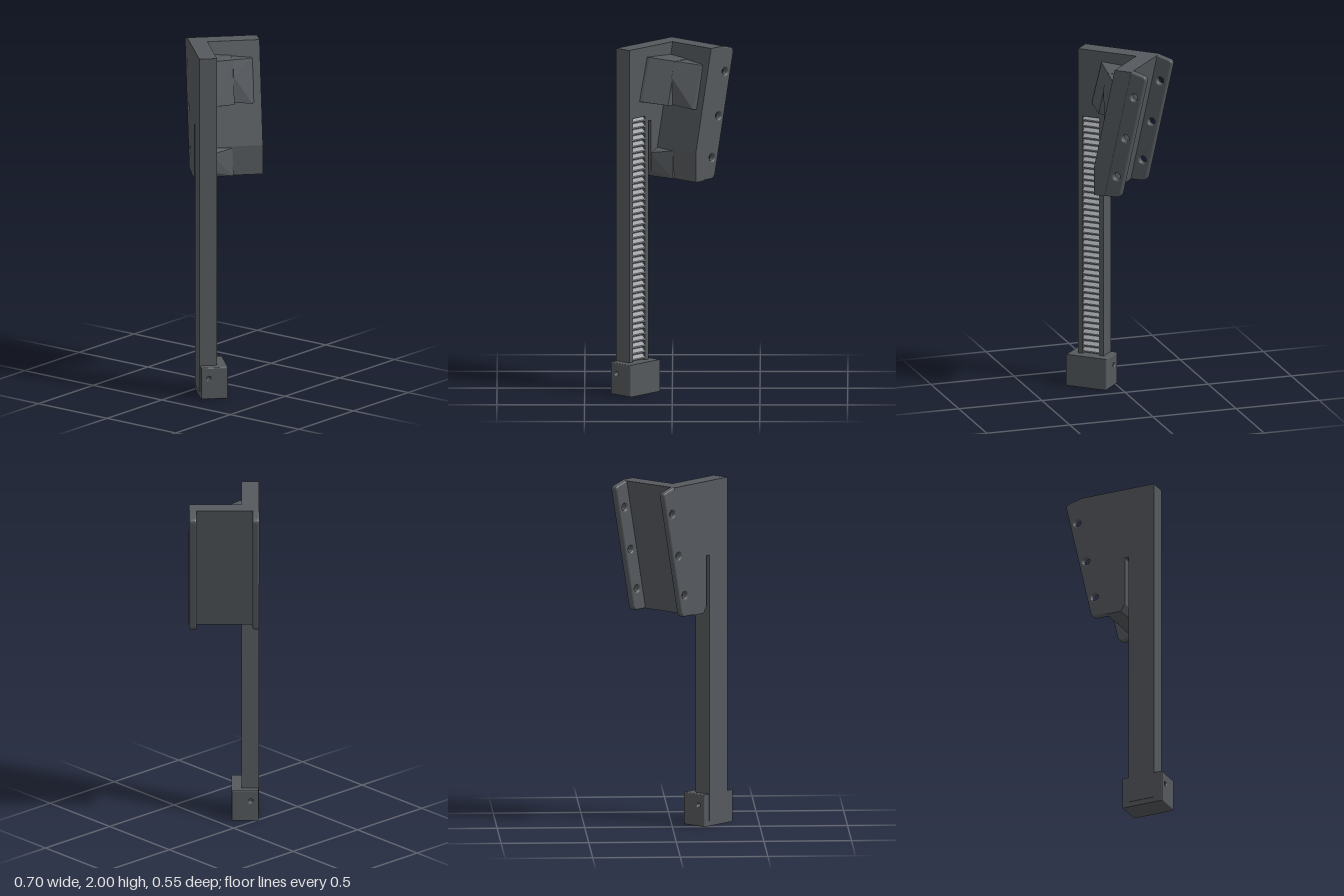
import * as THREE from 'three';
import { ConvexGeometry } from 'three/addons/geometries/ConvexGeometry.js';

const LEAN = 0.218; // sideways drift of the slanted parts per unit of height
const lean = (u, y) => u + LEAN * (y - 2);

const dark = new THREE.MeshStandardMaterial({ color: 0x55595d, flatShading: true });
const light = new THREE.MeshStandardMaterial({ color: 0x9a9ea2, flatShading: true });

const outline = (pts) => new THREE.Shape(pts.map(([x, y]) => new THREE.Vector2(x, y)));

function circleHole(x, y, r) {
  const path = new THREE.Path();
  path.absarc(x, y, r, 0, Math.PI * 2, true);
  return path;
}

// Extrude a shape from z0 to z1, with an optional bevel kept inside that size.
function slab(shape, z0, z1, bevel = 0) {
  const geo = new THREE.ExtrudeGeometry(shape, {
    depth: z1 - z0 - 2 * bevel,
    bevelEnabled: bevel > 0,
    bevelSize: bevel,
    bevelThickness: bevel,
    bevelOffset: -bevel,
    bevelSegments: 3,
    curveSegments: 12,
  });
  return geo.translate(0, 0, z0 + bevel);
}

// Same, but the shape is drawn as (-z, y) and extruded along x.
const slabX = (shape, x0, x1, bevel) => slab(shape, x0, x1, bevel).rotateY(Math.PI / 2);

const hull = (pts) => new ConvexGeometry(pts.map((p) => new THREE.Vector3(...p)));

export function createModel() {
  const model = new THREE.Group();
  model.name = 'ratchetBracket';
  const body = new THREE.Group();
  body.name = 'bracketBody';
  body.rotation.y = 0.823; // the bracket stands turned about the vertical
  model.add(body);

  const add = (name, geo, mat = dark) => {
    const mesh = new THREE.Mesh(geo, mat);
    mesh.name = name;
    body.add(mesh);
    return mesh;
  };

  // Long strip and upper plate in one piece, parted by a narrow slot
  const plate = () => outline([
    [-0.313, 0.03], [-0.154, 0.03], [-0.154, 1.57], [-0.13, 1.57],
    [-0.13, 1.28], [-0.105, 1.24], [lean(0.153, 1.24), 1.24], [0.153, 2], [-0.313, 2],
  ]);
  add('backPlate', slab(plate(), -0.146, -0.068));

  // Front layer of the plate with the window that holds the rack
  const face = plate();
  face.holes.push(new THREE.Path([
    [-0.285, 0.16], [-0.285, 1.6], [-0.18, 1.6], [-0.18, 0.16],
  ].map(([x, y]) => new THREE.Vector2(x, y))));
  add('frontPlate', slab(face, -0.068, -0.044));

  // Toothed rack sunk into the strip
  const teeth = 40, y0 = 0.185, pitch = (1.6 - y0) / teeth;
  const profile = [[0.072, y0]];
  for (let i = 0; i < teeth; i++) {
    const y = y0 + i * pitch;
    profile.push([0.067, y], [0.046, y + pitch * 0.25], [0.046, y + pitch * 0.45], [0.067, y + pitch * 0.95]);
  }
  profile.push([0.072, 1.6]);
  add('rack', slabX(outline(profile.reverse()), -0.285, -0.18), light);

  // Slanted wall standing out from the plate, upright near its foot
  add('slantedWall', slab(outline([
    [0.05, 2], [-0.078, 1.41], [-0.078, 1.24], [lean(0.153, 1.24), 1.24], [0.153, 2],
  ]), -0.1, 0.256));

  // Two drilled flanges along the back edges of the wall
  const flangeShape = () => {
    const s = new THREE.Shape();
    s.moveTo(lean(0.125, 1.24), 1.24);
    s.lineTo(0.054, 1.24);
    s.quadraticCurveTo(0.084, 1.24, 0.09, 1.27);
    s.lineTo(lean(0.252, 1.95), 1.95);
    s.quadraticCurveTo(0.248, 1.975, 0.222, 1.982);
    s.lineTo(0.153, 2);
    s.lineTo(0.125, 2);
    for (const [u, y] of [[0.17, 1.85], [0.115, 1.6], [0.061, 1.365]]) {
      s.holes.push(circleHole(u, y, 0.02));
    }
    return s;
  };
  add('rearFlange', slab(flangeShape(), -0.146, -0.107, 0.01));
  add('frontFlange', slab(flangeShape(), 0.211, 0.254, 0.01));

  // Corner gusset between plate and wall, its front stepped in the middle
  add('gussetLeft', hull([
    [0.03, 1.93, -0.06], [-0.165, 1.94, -0.05], [-0.16, 1.94, -0.028], [-0.07, 1.92, 0.085], [0.04, 1.92, 0.085],
    [-0.23, 1.69, -0.05], [-0.222, 1.69, -0.032], [-0.127, 1.67, 0.085], [0, 1.66, 0.085], [0, 1.67, -0.06],
  ]));
  add('gussetRight', hull([
    [0.05, 1.93, -0.05], [-0.07, 1.92, 0.084], [0.022, 1.9, 0.205], [0.05, 1.9, 0.23],
    [-0.096, 1.83, 0.084], [-0.09, 1.67, 0.084], [-0.042, 1.65, 0.2], [0, 1.65, 0.23], [0, 1.67, -0.05],
  ]));

  // Small gusset at the foot of the wall
  add('footGusset', hull([
    [-0.128, 1.275, -0.05], [-0.105, 1.24, -0.05], [-0.09, 1.24, 0.085], [-0.07, 1.24, 0.085],
    [-0.128, 1.38, -0.05], [-0.077, 1.4, 0.08], [-0.05, 1.42, -0.05], [-0.05, 1.24, -0.05],
  ]));

  // Base block with a cross hole
  const base = outline([[-0.011, 0], [0.143, 0], [0.143, 0.185], [-0.011, 0.185]]);
  base.holes.push(circleHole(0.098, 0.122, 0.012));
  add('baseBlock', slabX(base, -0.365, -0.112, 0.006));

  return model;
}
